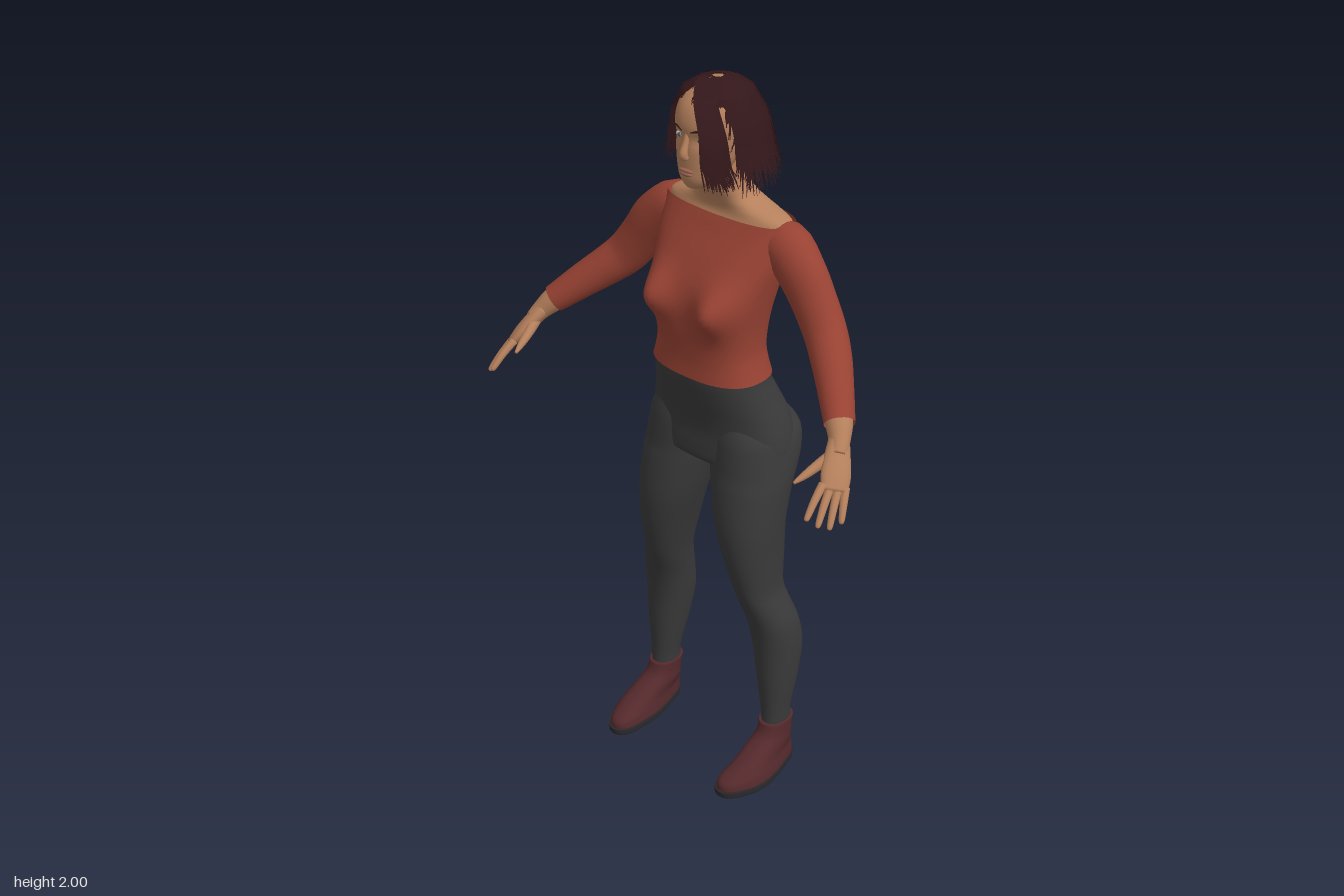
import * as THREE from 'three';

const mat = (name, color, side = THREE.FrontSide) =>
  Object.assign(new THREE.MeshStandardMaterial({ color, side }), { name });

// Smoothly resample rows of numbers (Catmull-Rom on every column)
function resample(rows, steps = 4) {
  const out = [];
  const at = (i) => rows[Math.min(Math.max(i, 0), rows.length - 1)];
  for (let i = 0; i < rows.length - 1; i++)
    for (let k = 0; k < steps; k++) {
      const t = k / steps;
      out.push(rows[i].map((b, c) => {
        const a = at(i - 1)[c], d = at(i + 1)[c], e = at(i + 2)[c];
        return b + 0.5 * t * (d - a + t * (2 * a - 5 * b + 4 * d - e + t * (3 * (b - d) + e - a)));
      }));
    }
  out.push(rows[rows.length - 1]);
  return out;
}

// Closed skin over rings of points, optionally capped at both ends
function skinRings(rings, capped = true) {
  const n = rings[0].length, pos = [], idx = [];
  rings.forEach((r) => r.forEach((p) => pos.push(p.x, p.y, p.z)));
  for (let i = 0; i < rings.length - 1; i++)
    for (let j = 0; j < n; j++) {
      const a = i * n + j, b = i * n + (j + 1) % n;
      idx.push(a, b, b + n, a, b + n, a + n);
    }
  if (capped) [0, rings.length - 1].forEach((i) => {
    const c = rings[i].reduce((s, p) => s.add(p), new THREE.Vector3()).divideScalar(n);
    const ci = pos.length / 3;
    pos.push(c.x, c.y, c.z);
    for (let j = 0; j < n; j++) {
      const a = i * n + j, b = i * n + (j + 1) % n;
      if (i) idx.push(ci, a, b); else idx.push(ci, b, a);
    }
  });
  const g = new THREE.BufferGeometry();
  g.setAttribute('position', new THREE.Float32BufferAttribute(pos, 3));
  g.setIndex(idx);
  g.computeVertexNormals();
  return g;
}

// Upright loft, rows bottom to top: [y, centre x, half width, front z, back z]
function loft(rows, { power = 2.3, warp = null, capped = true, n = 40 } = {}) {
  const sp = (v) => Math.sign(v) * Math.abs(v) ** (2 / power);
  return skinRings(resample(rows).map(([y, cx, w, zf, zb]) =>
    Array.from({ length: n }, (_, j) => {
      const a = (j / n) * Math.PI * 2;
      const p = new THREE.Vector3(cx + w * sp(Math.sin(a)), y, (zf + zb) / 2 + (zf - zb) / 2 * sp(Math.cos(a)));
      if (warp) warp(p, cx);
      return p;
    })), capped);
}

// Limb along a path: [x, y, z, radius along ref, radius across]
function limb(rows, s = 1, ref = [0, 0, 1], n = 16, capped = true) {
  const pts = resample(rows);
  const P = pts.map((p) => new THREE.Vector3(p[0] * s, p[1], p[2]));
  return skinRings(P.map((p, i) => {
    const T = P[Math.min(i + 1, P.length - 1)].clone().sub(P[Math.max(i - 1, 0)]).normalize();
    const N = new THREE.Vector3(ref[0] * s, ref[1], ref[2]);
    N.addScaledVector(T, -N.dot(T)).normalize();
    const B = T.clone().cross(N);
    return Array.from({ length: n }, (_, j) => {
      const a = (j / n) * Math.PI * 2;
      return p.clone().addScaledVector(N, pts[i][3] * Math.cos(a)).addScaledVector(B, pts[i][4] * Math.sin(a));
    });
  }), capped);
}

const smooth = THREE.MathUtils.smoothstep, lerp = THREE.MathUtils.lerp;
const bump = (x, y, sx, sy) => Math.exp(-((x / sx) ** 2) - (y / sy) ** 2);
let seed = 7;
const rnd = () => (seed = (seed * 16807) % 2147483647) / 2147483647;

// Hair envelope: a point at angle a (from the front towards +x) and height y
const HAIR = [[1.7, 0.165], [1.76, 0.15], [1.83, 0.133], [1.9, 0.118], [1.967, 0.085], [1.99, 0.05], [2.0, 0.004]];
function hairPoint(a, y, scale = 1) {
  let i = 0;
  while (i < HAIR.length - 2 && y > HAIR[i + 1][0]) i++;
  const r = scale * lerp(HAIR[i][1], HAIR[i + 1][1], (y - HAIR[i][0]) / (HAIR[i + 1][0] - HAIR[i][0]));
  const c = Math.cos(a);
  return new THREE.Vector3(r * Math.sin(a), y, -0.055 + r * c * (c < 0 ? 1.1 : 1));
}
// How far the hair reaches down at each angle: open at the face, with a parting
function hairEnd(a, low) {
  const d = THREE.MathUtils.radToDeg(a);
  const open = d > 0 ? 1 - smooth(d, 52, 72) : smooth(d, -82, -62);
  return lerp(lerp(low, 1.95, open), 1.99, 1 - smooth(Math.abs(d + 12), 6, 20));
}

// Many tapering ribbons merged in one geometry; each is { path, side, width }
function ribbons(list) {
  const pos = [], idx = [];
  for (const { path, side, width } of list) {
    const base = pos.length / 3;
    path.forEach((p, i) => {
      const w = width * (1 - 0.8 * (i / (path.length - 1)) ** 2);
      for (const k of [-w, w]) pos.push(p.x + side.x * k, p.y + side.y * k, p.z + side.z * k);
      if (i) {
        const b = base + i * 2;
        idx.push(b - 2, b, b + 1, b - 2, b + 1, b - 1);
      }
    });
  }
  const g = new THREE.BufferGeometry();
  g.setAttribute('position', new THREE.Float32BufferAttribute(pos, 3));
  g.setIndex(idx);
  g.computeVertexNormals();
  return g;
}

export function createModel() {
  const model = new THREE.Group();
  model.name = 'woman';
  const skin = mat('skin', 0xb5805c), shirt = mat('shirt red', 0x984233, THREE.DoubleSide);
  const trousers = mat('trouser grey', 0x3a3a3b), boot = mat('boot brown', 0x54292c);
  const sole = mat('sole black', 0x29282a), hair = mat('hair brown', 0x33171a, THREE.DoubleSide);
  const white = mat('eye white', 0xb9b4b0), iris = mat('iris', 0x4a5a66), lip = mat('lips', 0x9a6150);
  const add = (name, geo, m) => {
    const mesh = new THREE.Mesh(geo, m);
    mesh.name = name;
    model.add(mesh);
    return mesh;
  };
  const ball = (name, m, p, r) => {
    const b = add(name, new THREE.SphereGeometry(1, 20, 14), m);
    b.position.set(...p);
    b.scale.set(...r);
  };

  // Torso: shirt with bust, bare neckline and neck, hips
  add('shirtBody', loft([[1.222, 0, 0.168, 0.07, -0.148], [1.26, 0, 0.157, 0.067, -0.142], [1.3, 0, 0.15, 0.068, -0.14],
    [1.36, 0, 0.153, 0.072, -0.148], [1.42, 0, 0.163, 0.07, -0.158], [1.48, 0, 0.176, 0.055, -0.17],
    [1.54, 0, 0.19, 0.025, -0.183], [1.6, 0, 0.2, -0.012, -0.19], [1.642, 0, 0.198, -0.036, -0.178]], {
    power: 2.5, capped: false, n: 72,
    warp: (p) => {
      if (p.z > -0.02) p.z += 0.052 * bump(Math.abs(p.x) - 0.1, p.y - 1.43, 0.05, 0.06);
      else p.z += 0.014 * bump(p.x, p.y - 1.42, 0.03, 0.14); // spine groove
    },
  }), shirt);
  add('neckAndShoulders', loft([[1.6, 0, 0.185, -0.025, -0.178], [1.638, 0, 0.193, -0.042, -0.172], [1.655, 0, 0.165, -0.045, -0.168],
    [1.67, 0, 0.12, -0.042, -0.165], [1.69, 0, 0.083, -0.033, -0.155], [1.72, 0, 0.065, -0.017, -0.14],
    [1.76, 0, 0.06, -0.005, -0.128], [1.82, 0, 0.058, 0, -0.12]]), skin);
  add('hips', loft([[0.94, 0, 0.1, -0.01, -0.11], [0.965, 0, 0.195, 0.032, -0.17], [1.0, 0, 0.218, 0.037, -0.195],
    [1.05, 0, 0.214, 0.036, -0.203], [1.1, 0, 0.2, 0.043, -0.196], [1.15, 0, 0.184, 0.055, -0.175],
    [1.2, 0, 0.17, 0.066, -0.152], [1.228, 0, 0.166, 0.069, -0.147]]), trousers);

  // Head with eye sockets
  add('head', loft([[1.733, 0, 0.015, 0.038, 0.005], [1.738, 0, 0.028, 0.048, -0.015], [1.76, 0, 0.05, 0.057, -0.05],
    [1.79, 0, 0.066, 0.058, -0.09], [1.82, 0, 0.075, 0.058, -0.12], [1.86, 0, 0.081, 0.057, -0.145],
    [1.9, 0, 0.084, 0.06, -0.155], [1.94, 0, 0.078, 0.048, -0.148], [1.97, 0, 0.06, 0.02, -0.122],
    [1.985, 0, 0.038, -0.012, -0.095], [1.992, 0, 0.01, -0.045, -0.065]], {
    power: 2.2, n: 64,
    warp: (p) => { if (p.z > 0) p.z -= 0.009 * bump(Math.abs(p.x) - 0.034, p.y - 1.866, 0.02, 0.016); },
  }), skin);
  add('nose', limb([[0, 1.882, 0.05, 0.007, 0.008], [0, 1.855, 0.06, 0.008, 0.008], [0, 1.83, 0.068, 0.011, 0.011],
    [0, 1.818, 0.062, 0.012, 0.008]], 1, [1, 0, 0]), skin);
  ball('upperLip', lip, [0, 1.785, 0.058], [0.023, 0.005, 0.007]);
  ball('lowerLip', lip, [0, 1.776, 0.058], [0.019, 0.006, 0.007]);

  for (const s of [1, -1]) {
    const side = s > 0 ? 'left' : 'right';
    const lofted = (name, rows, m, opt) =>
      add(side + name, loft(rows.map(([y, x0, x1, zf, zb]) => [y, s * (x0 + x1) / 2, (x1 - x0) / 2, zf, zb]), opt), m);

    // Face details
    ball(side + 'Eye', white, [s * 0.034, 1.866, 0.041], [0.014, 0.007, 0.007]);
    ball(side + 'Iris', iris, [s * 0.033, 1.866, 0.0455], [0.0055, 0.0055, 0.004]);
    add(side + 'Brow', limb([[0.014, 1.886, 0.057, 0.002, 0.002], [0.034, 1.892, 0.053, 0.002, 0.003],
      [0.054, 1.886, 0.04, 0.002, 0.001]], s, [0, 0, 1], 8), hair);
    ball(side + 'Ear', skin, [s * 0.083, 1.85, -0.045], [0.01, 0.03, 0.017]);

    // Leg, boot and sole: rows [y, inner x, outer x, front z, back z]
    lofted('Leg', [[0.15, 0.176, 0.244, -0.03, -0.123], [0.2, 0.17, 0.247, -0.03, -0.12], [0.3, 0.152, 0.257, -0.023, -0.145],
      [0.4, 0.135, 0.262, -0.018, -0.16], [0.48, 0.125, 0.257, -0.006, -0.148], [0.55, 0.113, 0.236, 0.015, -0.128],
      [0.6, 0.104, 0.222, 0.03, -0.12], [0.7, 0.078, 0.222, 0.052, -0.13], [0.8, 0.048, 0.226, 0.06, -0.137],
      [0.9, 0.02, 0.228, 0.05, -0.165], [0.95, 0.006, 0.226, 0.041, -0.192], [1.0, 0.002, 0.221, 0.037, -0.214],
      [1.05, 0.005, 0.21, 0.032, -0.214], [1.1, 0.03, 0.175, 0.02, -0.18]], trousers, { power: 2.15 });
    const heel = (p, cx) => { // narrow the heel, lean the toe inwards
      const k = 1 - smooth(p.y, 0.05, 0.1);
      p.x = cx + (p.x - cx) * (1 - 0.28 * k * smooth(-p.z, -0.04, 0.1)) - s * k * 0.012 * smooth(p.z, 0.05, 0.15);
    };
    lofted('Boot', [[0.018, 0.162, 0.272, 0.15, -0.13], [0.04, 0.165, 0.268, 0.143, -0.13], [0.06, 0.168, 0.262, 0.105, -0.127],
      [0.09, 0.17, 0.255, 0.042, -0.124], [0.12, 0.173, 0.25, -0.008, -0.124], [0.156, 0.171, 0.249, -0.024, -0.129]],
      boot, { warp: heel });
    lofted('Sole', [[0, 0.162, 0.272, 0.15, -0.128], [0.004, 0.159, 0.275, 0.155, -0.132], [0.02, 0.159, 0.275, 0.155, -0.132]],
      sole, { warp: heel });

    // Sleeve and forearm
    add(side + 'Sleeve', limb([[0.12, 1.565, -0.105, 0.05, 0.05], [0.18, 1.585, -0.107, 0.062, 0.066],
      [0.245, 1.535, -0.095, 0.056, 0.067], [0.29, 1.475, -0.09, 0.053, 0.062], [0.337, 1.412, -0.078, 0.052, 0.058],
      [0.38, 1.37, -0.05, 0.052, 0.053], [0.43, 1.325, -0.008, 0.046, 0.047], [0.492, 1.266, 0.048, 0.039, 0.038]],
      s, [0, 0, 1], 24, false), shirt);
    add(side + 'Wrist', limb([[0.45, 1.305, 0.012, 0.036, 0.036], [0.49, 1.267, 0.047, 0.034, 0.034],
      [0.515, 1.235, 0.075, 0.026, 0.026], [0.527, 1.213, 0.094, 0.024, 0.022]], s), skin);

    // Hand: flat palm, four fingers, thumb
    const spread = [0.65, -0.24, -0.72];
    add(side + 'Palm', limb([[0.51, 1.242, 0.07, 0.026, 0.022], [0.53, 1.207, 0.1, 0.034, 0.02],
      [0.547, 1.176, 0.125, 0.038, 0.018], [0.562, 1.148, 0.147, 0.033, 0.012]], s, spread), skin);
    [[-0.029, 0.548, 1.1, 0.235], [-0.009, 0.573, 1.085, 0.222], [0.01, 0.592, 1.077, 0.2], [0.028, 0.602, 1.083, 0.167]]
      .forEach(([o, ...tip], i) => {
        const base = [0.556, 1.158, 0.14].map((c, k) => c + o * spread[k]);
        const at = (t, r) => [...base.map((c, k) => lerp(c, tip[k], t) + (k === 1 ? 0.02 * t * (1 - t) : 0)), r, r];
        add(side + 'Finger' + (i + 1), limb([at(0, 0.011), at(0.5, 0.01), at(0.92, 0.0075), at(1, 0.003)], s, spread, 10), skin);
      });
    add(side + 'Thumb', limb([[0.518, 1.215, 0.09, 0.018, 0.015], [0.503, 1.195, 0.135, 0.014, 0.013],
      [0.492, 1.178, 0.175, 0.01, 0.01], [0.483, 1.166, 0.205, 0.004, 0.004]], s, [0, 1, 0], 10), skin);
  }

  // Hair: an under-layer, loose strands, and a lock swept over the left temple
  const capRings = Array.from({ length: 15 }, (_, i) => Array.from({ length: 72 }, (_, j) => {
    const a = (j / 72) * Math.PI * 2 - Math.PI;
    const low = hairEnd(a, 1.8 + 0.015 * Math.sin(j * 2.4));
    return hairPoint(a, lerp(low, 1.995, 1 - (1 - i / 14) ** 2), 0.95);
  }));
  add('hairCap', skinRings(capRings, false), hair);

  const strands = [];
  while (strands.length < 1000) {
    const a = (rnd() * 2 - 1) * Math.PI, end = hairEnd(a, 1.735 + rnd() * 0.07);
    const top = lerp(1.998, Math.max(end, 1.86), rnd() ** 1.5), twist = (rnd() - 0.5) * 0.25, lift = 0.96 + rnd() * 0.07;
    if (top - end < 0.02) continue;
    const path = Array.from({ length: 9 }, (_, k) =>
      hairPoint(a + twist * (k / 8) ** 2, lerp(top, end, (k / 8) ** 1.4), lift + 0.06 * (rnd() - 0.5) * (k / 8)));
    strands.push({ path, side: new THREE.Vector3(Math.cos(a), 0, -Math.sin(a)), width: 0.0035 });
  }
  add('hairStrands', ribbons(strands), hair);

  const lock = Array.from({ length: 130 }, () => {
    const o = [rnd() - 0.5, rnd() - 0.5, rnd() - 0.5], u = rnd();
    const path = resample([[-0.01, 1.99, -0.02], [0.05, 1.968, 0.045], [0.092, 1.9, 0.066], [0.106, 1.83, 0.07],
      [0.116, 1.765 + 0.04 * u, 0.06]].map((p, k) => p.map((c, d) => c + o[d] * (d === 1 ? 0.012 : 0.03 + 0.008 * k))), 3)
      .map((p) => new THREE.Vector3(...p));
    return { path, side: new THREE.Vector3(0.6, 0, -0.8), width: 0.004 };
  });
  add('hairLock', ribbons(lock), hair);
  return model;
}
